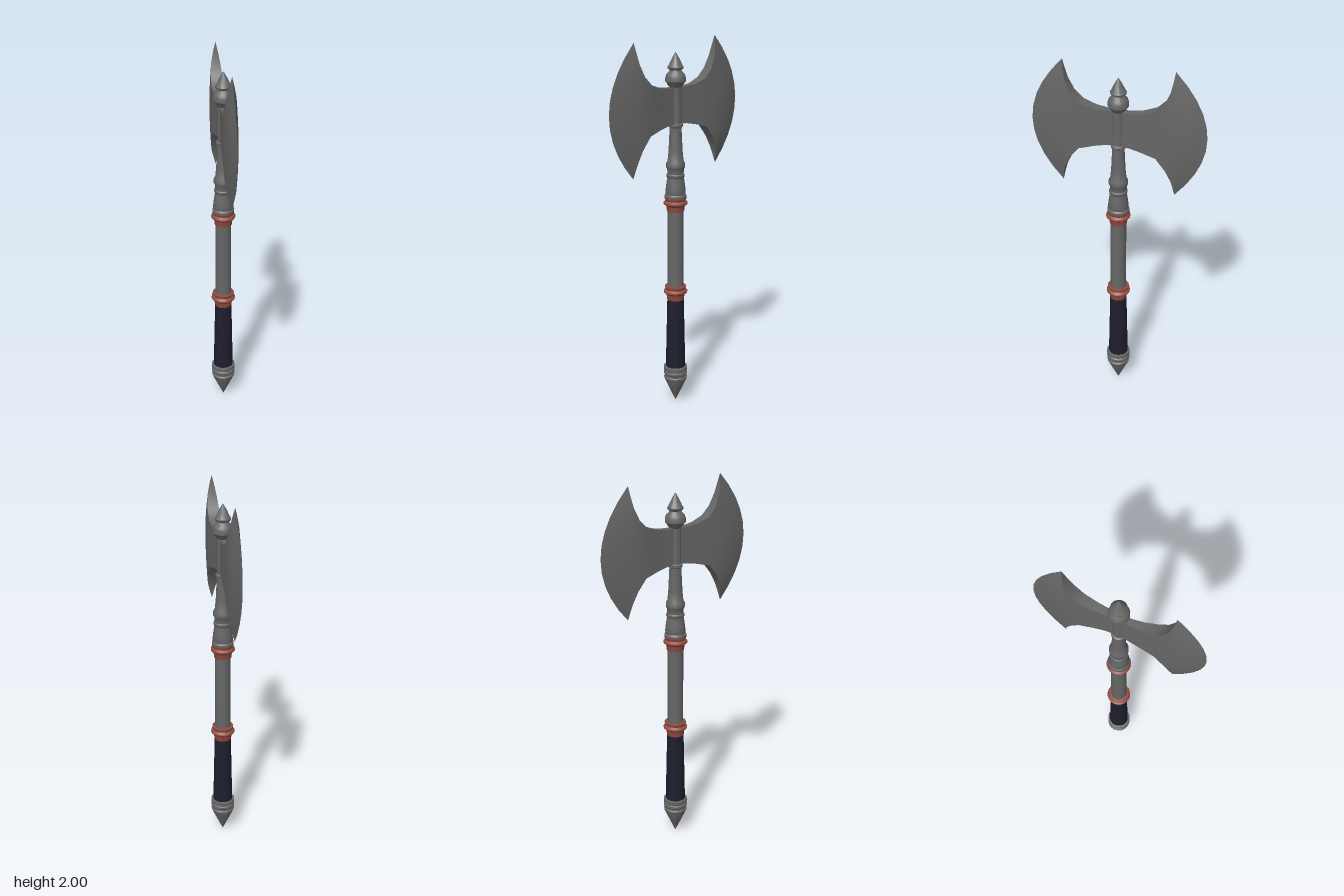
import * as THREE from 'three';
import { toCreasedNormals } from 'three/addons/utils/BufferGeometryUtils.js';

const steel = new THREE.MeshStandardMaterial({ name: 'dark steel', color: 0x666666 });
const copper = new THREE.MeshStandardMaterial({ name: 'copper red', color: 0x8f4a3f });
const leather = new THREE.MeshStandardMaterial({ name: 'navy leather', color: 0x1e1e2e });

// Turned part from [radius, height] pairs listed from bottom to top
function turned(name, profile, material) {
  const points = profile.map(([r, y]) => new THREE.Vector2(r, y));
  const geometry = toCreasedNormals(new THREE.LatheGeometry(points, 20), 0.6);
  const mesh = new THREE.Mesh(geometry, material);
  mesh.name = name;
  return mesh;
}

// Blade lofted from upright sections running from the shaft to the cutting edge
function bladeGeometry() {
  // z top, y top, z bottom, y bottom, z middle, x middle, half thickness, thickness share at the ends
  const sections = [
    [0.0, 1.755, 0.0, 1.565, 0.0, 0.0, 0.018, 1],
    [0.06, 1.755, 0.06, 1.562, 0.06, 0.001, 0.019, 1],
    [0.12, 1.762, 0.12, 1.55, 0.12, 0.005, 0.024, 1],
    [0.19, 1.785, 0.2, 1.528, 0.19, 0.011, 0.031, 1],
    [0.235, 1.83, 0.25, 1.465, 0.24, 0.013, 0.033, 0.92],
    [0.265, 1.895, 0.278, 1.405, 0.3, 0.015, 0.031, 0.75],
    [0.276, 1.95, 0.288, 1.36, 0.37, 0.018, 0.02, 0.62],
    [0.283, 2.0, 0.295, 1.315, 0.45, 0.025, 0, 0],
  ];
  const steps = 10;
  const ring = 2 * (steps + 1);
  const positions = [];
  const index = [];
  sections.forEach(([zt, yt, zb, yb, zm, xm, half, share], i) => {
    for (let j = 0; j < ring; j++) {
      const side = j <= steps ? 1 : -1;
      const v = (side > 0 ? j : ring - 1 - j) / steps;
      const bow = 1 - (2 * v - 1) ** 2;
      const z = THREE.MathUtils.lerp(zt, zb, v) + (zm - (zt + zb) / 2) * bow;
      const x = THREE.MathUtils.lerp(Math.min(xm, 0.015), xm, bow);
      const thickness = half * THREE.MathUtils.lerp(share, 1, bow);
      positions.push(x + side * thickness, THREE.MathUtils.lerp(yt, yb, v), z);
      if (i < sections.length - 1) {
        const a = i * ring + j, d = i * ring + (j + 1) % ring;
        index.push(a, a + ring, d + ring, a, d + ring, d);
      }
    }
  });
  const geometry = new THREE.BufferGeometry();
  geometry.setAttribute('position', new THREE.Float32BufferAttribute(positions, 3));
  geometry.setIndex(index);
  return toCreasedNormals(geometry, 0.5);
}

export function createModel() {
  const group = new THREE.Group();
  group.name = 'doubleAxe';

  // Pointed pommel with two rings
  group.add(turned('pommel', [
    [0, 0], [0.03, 0.065], [0.062, 0.135], [0.064, 0.145], [0.058, 0.15], [0.058, 0.16],
    [0.065, 0.167], [0.065, 0.178], [0.058, 0.183], [0.065, 0.19], [0.065, 0.207], [0.045, 0.212],
  ], steel));

  // Leather grip
  group.add(turned('grip', [[0.054, 0.205], [0.045, 0.605]], leather));

  // Copper collars at both ends of the middle shaft
  for (const y of [0.6, 1.095]) {
    const collar = turned('collar', [
      [0.04, 0], [0.046, 0], [0.048, 0.018], [0.05, 0.03], [0.064, 0.042], [0.064, 0.05],
      [0.052, 0.06], [0.058, 0.07], [0.058, 0.077], [0.04, 0.08],
    ], copper);
    collar.position.y = y;
    group.add(collar);
  }

  // Middle shaft
  group.add(turned('shaft', [[0.043, 0.67], [0.042, 1.1]], steel));

  // Stepped neck rising to the blades
  group.add(turned('neck', [
    [0.04, 1.17], [0.058, 1.172], [0.058, 1.183], [0.052, 1.19], [0.054, 1.2], [0.051, 1.23],
    [0.044, 1.278], [0.048, 1.285], [0.048, 1.295], [0.043, 1.3], [0.044, 1.325], [0.05, 1.335],
    [0.05, 1.355], [0.042, 1.37], [0.037, 1.42], [0.031, 1.545], [0.038, 1.55], [0.038, 1.562],
    [0.03, 1.568], [0.03, 1.77],
  ], steel));

  // Rounded knob and spike on top
  group.add(turned('finial', [
    [0.03, 1.755], [0.042, 1.768], [0.046, 1.778], [0.053, 1.784], [0.053, 1.804], [0.048, 1.82],
    [0.036, 1.832], [0.03, 1.842], [0.04, 1.85], [0.042, 1.858], [0.036, 1.866], [0.02, 1.9], [0, 1.935],
  ], steel));

  // Two blades, the second turned half way round the shaft
  const blade = bladeGeometry();
  ['frontBlade', 'backBlade'].forEach((name, i) => {
    const mesh = new THREE.Mesh(blade, steel);
    mesh.name = name;
    mesh.rotation.y = i * Math.PI;
    group.add(mesh);
  });

  return group;
}
